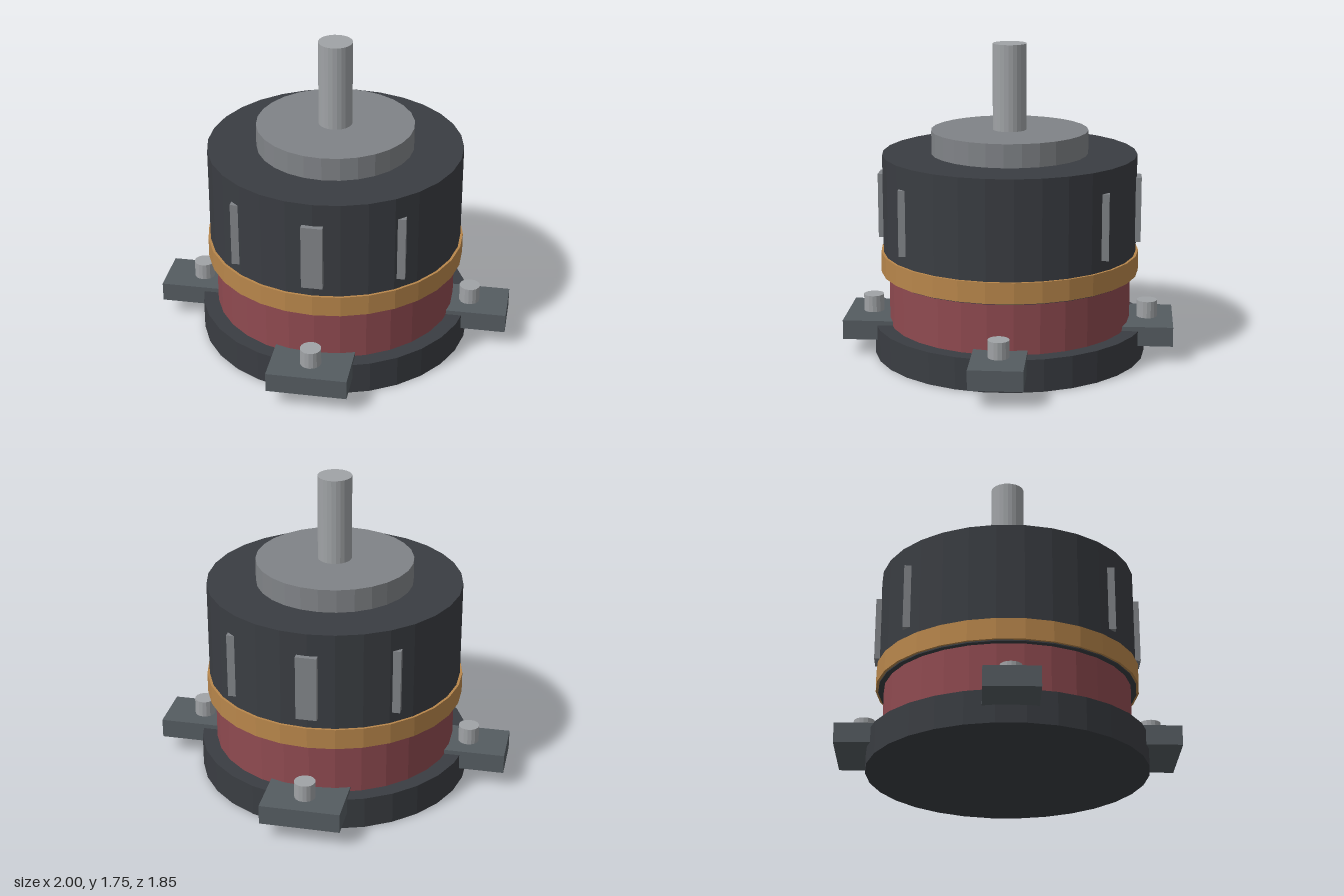
import * as THREE from 'three';

const mat = (color) => new THREE.MeshStandardMaterial({ color, flatShading: true });

export function createModel() {
  const model = new THREE.Group();
  const dark = mat(0x3a3d42);
  const red = mat(0x8f4a50);
  const gold = mat(0xb8864b);
  const slate = mat(0x555c61);
  const grey = mat(0x808387);
  const steel = mat(0xa0a3a6);

  const add = (name, geometry, material, x, y, z) => {
    const mesh = new THREE.Mesh(geometry, material);
    mesh.name = name;
    mesh.position.set(x, y, z);
    model.add(mesh);
  };
  // Upright cylinder between two heights
  const disc = (name, r, y0, y1, sides, material, x = 0, z = 0) =>
    add(name, new THREE.CylinderGeometry(r, r, y1 - y0, sides), material, x, (y0 + y1) / 2, z);

  // Stacked motor body
  disc('base', 0.766, 0, 0.18, 30, dark);
  disc('windingCore', 0.681, 0.18, 0.47, 30, red);
  disc('housing', 0.711, 0.467, 1.14, 30, dark);
  disc('trimRing', 0.725, 0.474, 0.59, 30, gold);
  disc('topCap', 0.438, 1.14, 1.27, 28, grey);
  disc('shaft', 0.094, 1.27, 1.75, 24, steel);

  // Four mounting tabs, all aligned the same way, each with a bolt
  for (let i = 0; i < 4; i++) {
    const a = (i * Math.PI) / 2;
    const x = 0.78 * Math.sin(a), z = 0.78 * Math.cos(a);
    add('mountingTab', new THREE.BoxGeometry(0.44, 0.11, 0.29), slate, x, 0.15, z);
    disc('bolt', 0.058, 0.205, 0.3, 16, steel, x, z);
  }

  // Raised ribs on the housing, axis-aligned so the diagonal ones show only a corner
  for (let i = 0; i < 8; i++) {
    if (i % 4 === 2) continue; // the side ribs would be buried in the housing
    const a = (i * Math.PI) / 4;
    add('housingRib', new THREE.BoxGeometry(0.115, 0.365, 0.3), grey,
      0.587 * Math.sin(a), 0.8325, 0.587 * Math.cos(a));
  }
  return model;
}
